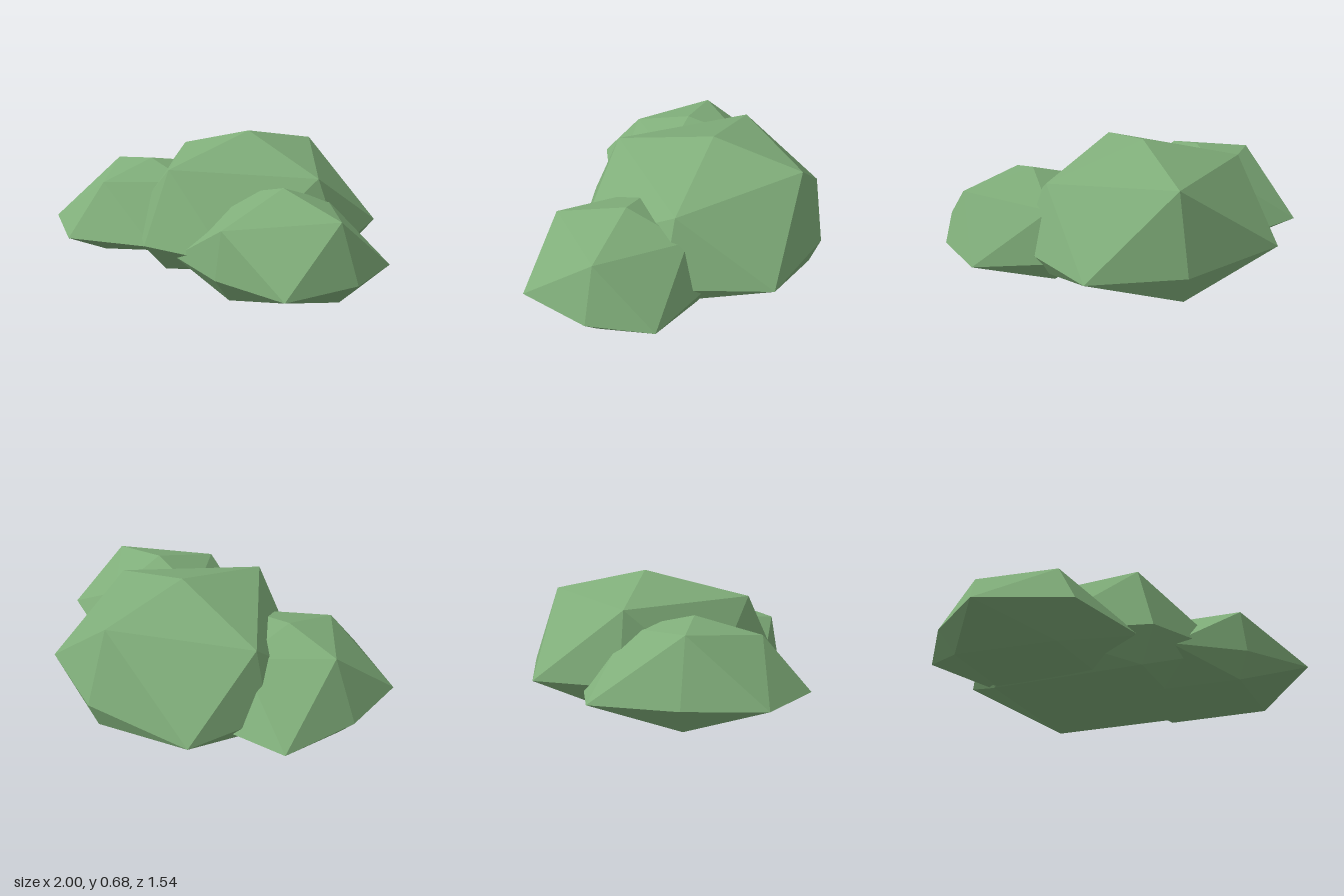
import * as THREE from 'three';

// Each lump is a once-subdivided octahedron with uneven reach and a flattened base.
// Four-entry lists run in the order +x, +z, -x, -z; corners lie between them.
const DIRS = [[1, 0], [0, 1], [-1, 0], [0, -1]];

const LUMPS = [
  {
    name: 'largeMound', centre: [-0.04, -0.14], top: 0.685, waist: 0.17, base: 0.005,
    reach: [0.70, 0.74, 0.675, 0.635],
    corners: [[0.46, 0.45], [-0.56, 0.29], [-0.63, -0.6], [0.46, -0.665]],
    upper: [[0.535, 0.505], [0.57, 0.55], [0.57, 0.53], [0.5, 0.58]],
    lower: [[0.6, 0.015], [0.6, 0.01], [0.58, 0.015], [0.58, 0.015]],
  },
  {
    name: 'leftHandMound', centre: [0.5, 0.125], top: 0.505, waist: 0.13, base: 0.003,
    reach: [0.5, 0.455, 0.49, 0.455],
    corners: [[0.91, 0.525], [0.1, 0.51], [0.1, -0.2], [0.92, -0.215]],
    upper: [[0.385, 0.415], [0.415, 0.37], [0.34, 0.41], [0.335, 0.38]],
    lower: [[0.385, 0.012], [0.365, 0.006], [0.38, 0.012], [0.395, 0.015]],
  },
  {
    name: 'rightHandMound', centre: [-0.51, 0.195], top: 0.5, waist: 0.135, base: 0.015,
    reach: [0.49, 0.575, 0.49, 0.57],
    corners: [[-0.08, 0.52], [-0.94, 0.585], [-0.94, -0.245], [-0.1, -0.2]],
    upper: [[0.34, 0.42], [0.335, 0.41], [0.33, 0.45], [0.34, 0.43]],
    lower: [[0.38, 0.02], [0.34, 0.02], [0.4, 0.02], [0.42, 0.02]],
  },
];

function lumpGeometry({ centre: [cx, cz], top, waist, base, reach, corners, upper, lower }) {
  const at = (k, r, y) => [cx + DIRS[k][0] * r, y, cz + DIRS[k][1] * r];
  const axis = reach.map((r, k) => at(k, r, waist));
  const diag = corners.map(([x, z]) => [x, waist, z]);
  const positions = [];

  // One cap joins a pole, its four shoulder points and the waist ring
  const addCap = (pole, shoulder, flip) => {
    const tri = (a, b, c) => positions.push(...a, ...(flip ? c : b), ...(flip ? b : c));
    for (let k = 0; k < 4; k++) {
      const n = (k + 1) % 4;
      tri(pole, shoulder[n], shoulder[k]);
      tri(shoulder[k], shoulder[n], diag[k]);
      tri(shoulder[k], diag[k], axis[k]);
      tri(diag[k], shoulder[n], axis[n]);
    }
  };
  addCap([cx, top, cz], upper.map(([r, y], k) => at(k, r, y)), false);
  addCap([cx, base, cz], lower.map(([r, y], k) => at(k, r, y)), true);

  const geometry = new THREE.BufferGeometry();
  geometry.setAttribute('position', new THREE.Float32BufferAttribute(positions, 3));
  geometry.computeVertexNormals();
  return geometry;
}

export function createModel() {
  const group = new THREE.Group();
  group.name = 'bush';
  const leafGreen = new THREE.MeshStandardMaterial({ color: 0x80ae7a, flatShading: true });
  leafGreen.name = 'leafGreen';

  // Three overlapping foliage lumps
  for (const lump of LUMPS) {
    const mesh = new THREE.Mesh(lumpGeometry(lump), leafGreen);
    mesh.name = lump.name;
    group.add(mesh);
  }
  return group;
}
